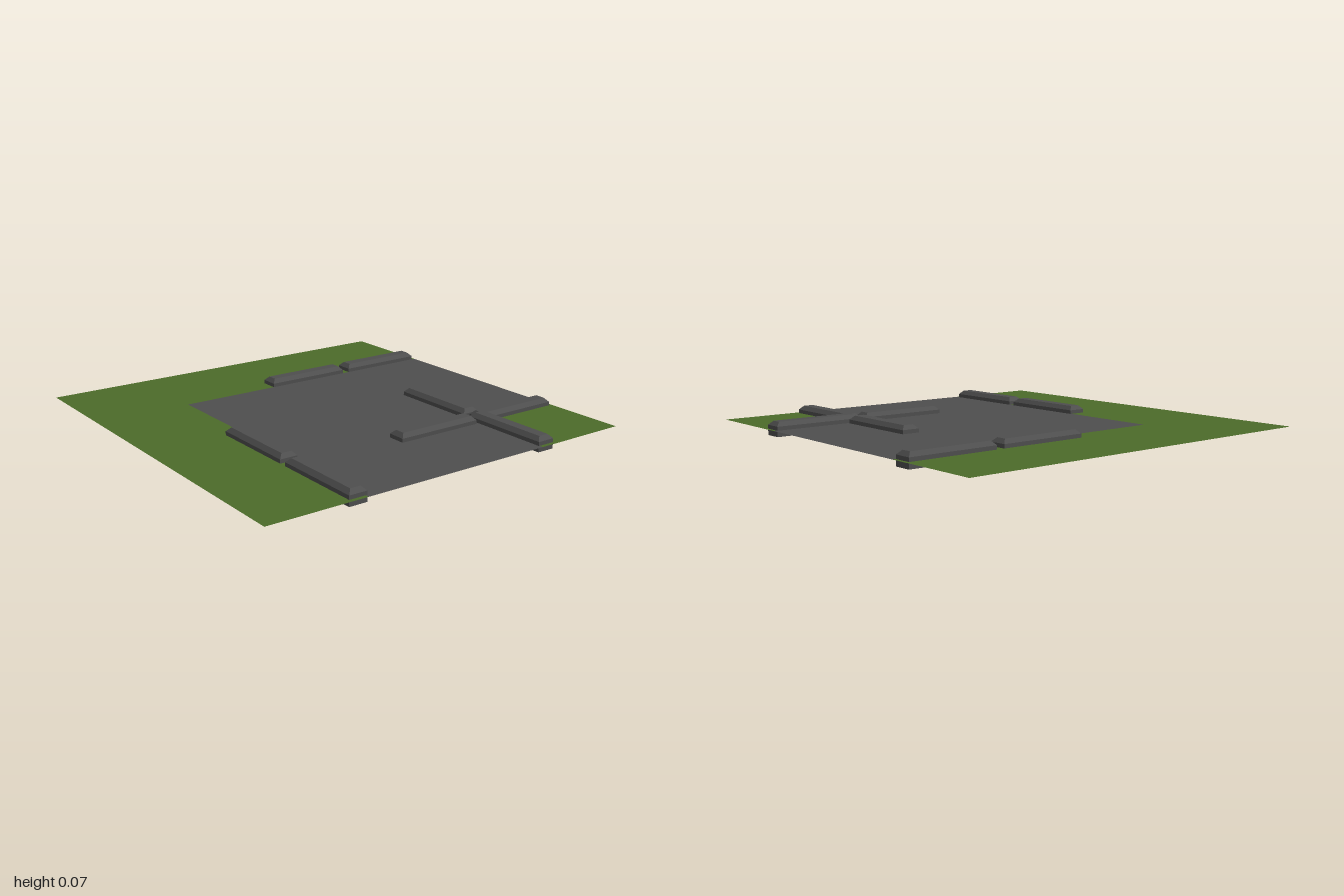
import * as THREE from 'three';

const grass = new THREE.MeshStandardMaterial({ name: 'grass green', color: 0x4c6b2a, side: THREE.DoubleSide });
const asphalt = new THREE.MeshStandardMaterial({ name: 'asphalt grey', color: 0x4e4e4e, side: THREE.DoubleSide });

const GROUND_Y = 0.031;

// Kerb footprints: [x0, x1, z0, z1]
const KERBS = [
  [-0.588, -0.496, -0.982, -0.521], [-0.588, -0.496, -0.481, -0.02],
  [0.492, 0.584, -0.982, -0.521], [0.492, 0.584, -0.481, -0.02],
  [0.018, 0.48, -0.588, -0.496], [0.518, 0.98, -0.588, -0.496],
  [0.018, 0.48, 0.492, 0.584], [0.518, 0.98, 0.492, 0.584],
];

// Flat ground outlines as [x, z] corners: the road turns from the back to the left edge
const ROAD = [[-0.496, 0.5], [1, 0.5], [1, -0.5], [0.5, -0.5], [0.5, -1], [-0.496, -1]];
const LAWN = [[-1, 1], [1, 1], [1, 0.5], [-0.496, 0.5], [-0.496, -1], [-1, -1]];
const CORNER_LAWN = [[0.5, -0.5], [1, -0.5], [1, -1], [0.5, -1]];

function groundGeometry(outline) {
  const shape = new THREE.Shape(outline.map(([x, z]) => new THREE.Vector2(x, -z)));
  return new THREE.ShapeGeometry(shape).rotateX(-Math.PI / 2).translate(0, GROUND_Y, 0);
}

// Rectangle ring at height y, counter-clockwise seen from above
const ring = ([x0, x1, z0, z1], y, inset = 0) => [
  [x0 + inset, y, z1 - inset], [x1 - inset, y, z1 - inset],
  [x1 - inset, y, z0 + inset], [x0 + inset, y, z0 + inset],
];

// Closed kerb block with bevelled upper edges
function kerbGeometry(rect) {
  const rings = [ring(rect, 0), ring(rect, 0.05), ring(rect, 0.07, 0.02)];
  const quads = [rings[2], [...rings[0]].reverse()];
  for (let r = 0; r < 2; r++) {
    for (let i = 0; i < 4; i++) {
      const j = (i + 1) % 4;
      quads.push([rings[r][i], rings[r][j], rings[r + 1][j], rings[r + 1][i]]);
    }
  }
  const positions = quads.flatMap(([a, b, c, d]) => [a, b, c, a, c, d].flat());
  const geometry = new THREE.BufferGeometry();
  geometry.setAttribute('position', new THREE.Float32BufferAttribute(positions, 3));
  geometry.computeVertexNormals();
  return geometry;
}

export function createModel() {
  const model = new THREE.Group();
  model.name = 'roadCornerTile';
  const add = (name, geometry, material) => {
    const mesh = new THREE.Mesh(geometry, material);
    mesh.name = name;
    model.add(mesh);
  };
  add('road', groundGeometry(ROAD), asphalt);
  add('lawn', groundGeometry(LAWN), grass);
  add('cornerLawn', groundGeometry(CORNER_LAWN), grass);
  KERBS.forEach((rect, i) => add(`kerb${i + 1}`, kerbGeometry(rect), asphalt));
  return model;
}
